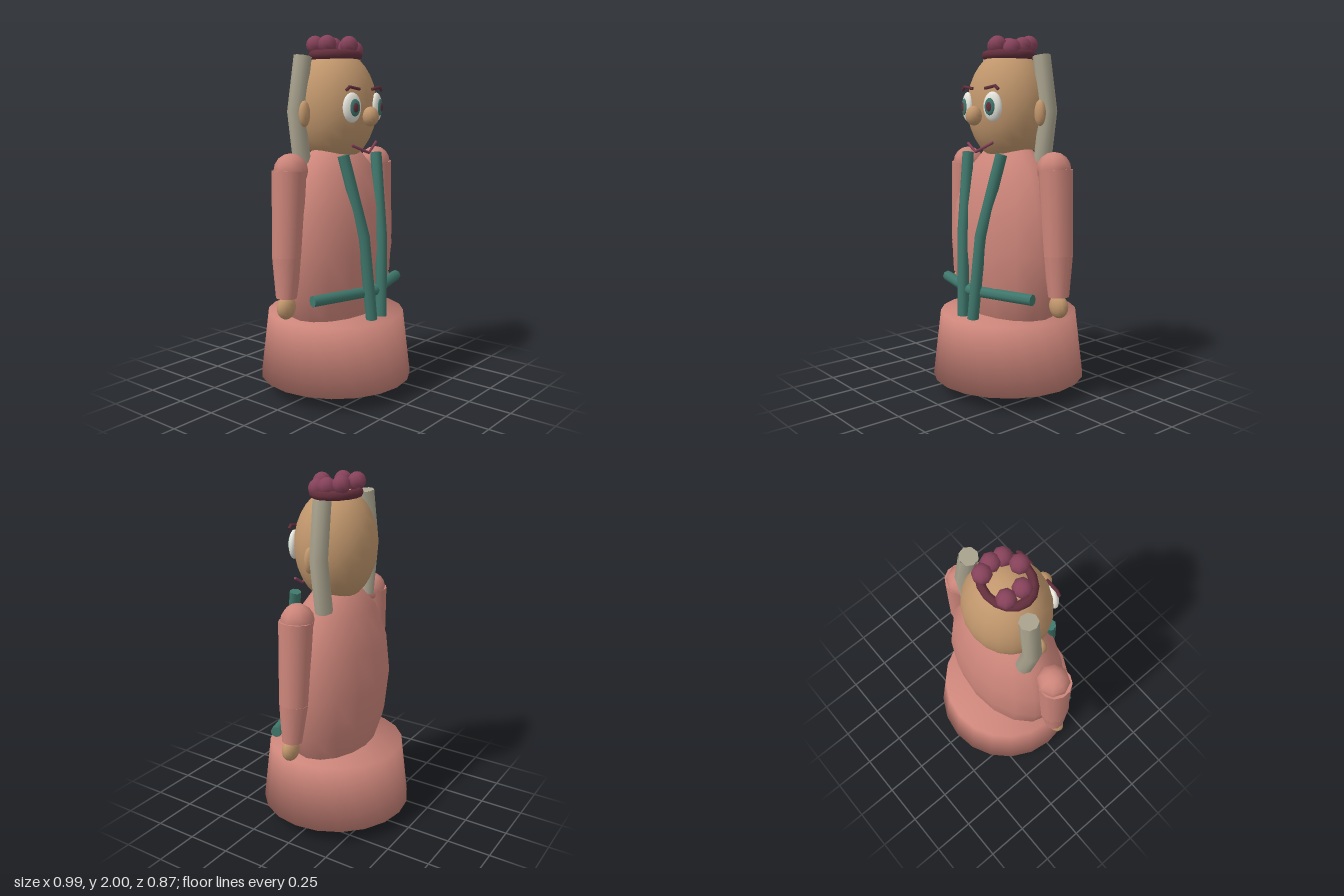
import * as THREE from 'three';
import { mergeGeometries } from 'three/addons/utils/BufferGeometryUtils.js';

const V = (x, y, z) => new THREE.Vector3(x, y, z);

function material(name, color) {
  const m = new THREE.MeshStandardMaterial({ color });
  m.name = name;
  return m;
}

// Path with straight runs and mitred bends
class Polyline extends THREE.Curve {
  constructor(points) {
    super();
    this.points = points;
  }
  getPointAt(u) {
    return this.points[Math.round(u * (this.points.length - 1))].clone();
  }
  getTangentAt(u) {
    const p = this.points, i = Math.round(u * (p.length - 1));
    const t = V(0, 0, 0);
    if (i > 0) t.add(p[i].clone().sub(p[i - 1]).normalize());
    if (i < p.length - 1) t.add(p[i + 1].clone().sub(p[i]).normalize());
    return t.normalize();
  }
}

// Tube along a polyline with flat end caps
function cappedTube(points, radius, sides) {
  const path = new Polyline(points);
  const cap = (u, sign) => {
    const disc = new THREE.CircleGeometry(radius, sides);
    const q = new THREE.Quaternion().setFromUnitVectors(V(0, 0, 1), path.getTangentAt(u).multiplyScalar(sign));
    const at = path.getPointAt(u);
    return disc.applyQuaternion(q).translate(at.x, at.y, at.z);
  };
  const tube = new THREE.TubeGeometry(path, points.length - 1, radius, sides, false);
  return mergeGeometries([tube, cap(0, -1), cap(1, 1)]);
}

// Tapered limb section between two points
function limb(a, b, ra, rb) {
  const d = b.clone().sub(a);
  const g = new THREE.CylinderGeometry(rb, ra, d.length(), 12);
  g.applyQuaternion(new THREE.Quaternion().setFromUnitVectors(V(0, 1, 0), d.normalize()));
  const mid = a.clone().add(b).multiplyScalar(0.5);
  return g.translate(mid.x, mid.y, mid.z);
}

export function createModel() {
  const model = new THREE.Group();
  model.name = 'figure';

  const cloth = material('salmon cloth', 0xcc857a);
  const skin = material('skin', 0xc0966c);
  const teal = material('teal', 0x3f776c);
  const grey = material('grey hair', 0xaaa48f);
  const wine = material('wine', 0x86425a);
  const dark = material('dark wine', 0x632f3c);
  const white = material('eye white', 0xe6e5dc);

  const add = (name, geometry, mat, parent = model) => {
    const mesh = new THREE.Mesh(geometry, mat);
    mesh.name = name;
    parent.add(mesh);
    return mesh;
  };
  const ball = (name, mat, pos, radii, w = 16, h = 12, parent = model) => {
    const g = new THREE.SphereGeometry(1, w, h);
    g.scale(...radii);
    const mesh = add(name, g, mat, parent);
    mesh.position.set(...pos);
    return mesh;
  };

  // Skirt, body and head
  const skirt = [[0, 0.08], [0.435, 0.08], [0.39, 0.455], [0, 0.455]].map(p => new THREE.Vector2(...p));
  add('skirt', new THREE.LatheGeometry(skirt, 20), cloth);
  ball('body', cloth, [0, 0.83, 0], [0.412, 0.6, 0.265], 16, 8);
  ball('head', skin, [0, 1.615, 0], [0.243, 0.312, 0.222], 20, 16);

  // Nose and mouth
  ball('nose', skin, [0, 1.565, 0.242], [0.046, 0.053, 0.045], 12, 10);
  add('mouth', cappedTube([V(-0.11, 1.413, 0.2), V(0, 1.37, 0.232), V(0.11, 1.423, 0.2)], 0.008, 6), wine);

  // Crown ring with berries
  const ring = new THREE.TorusGeometry(0.138, 0.026, 8, 16);
  ring.rotateX(Math.PI / 2).scale(1, 1, 0.84);
  add('crownRing', ring, dark).position.set(0, 1.895, 0);
  const berries = [
    [-0.085, 1.95, -0.075], [0.08, 1.95, -0.08], [-0.09, 1.95, 0.015],
    [0.01, 1.947, 0.085], [0.105, 1.937, -0.01], [0.097, 1.925, 0.055],
  ];
  berries.forEach(p => ball('berry', wine, p, [0.05, 0.05, 0.05], 8, 8));

  // Belt around the front
  add('belt', cappedTube([V(-0.385, 0.605, 0.155), V(0, 0.605, 0.27), V(0.385, 0.605, 0.155)], 0.031, 8), teal);

  // Paired parts, left (+x) and right (-x)
  for (const s of [1, -1]) {
    const side = s > 0 ? 'left' : 'right';

    // Foot, ear and hair lock
    ball(side + 'Foot', teal, [s * 0.16, 0.06, 0.055], [0.09, 0.06, 0.118]);
    ball(side + 'Ear', skin, [s * 0.26, 1.58, -0.003], [0.036, 0.07, 0.028], 12, 10);
    add(side + 'HairLock', cappedTube(
      [V(s * 0.215, 1.885, -0.052), V(s * 0.262, 1.59, -0.06), V(s * 0.215, 1.3, -0.06)], 0.049, 8), grey);

    // Eye: white, iris and pupil, turned outward
    const eye = new THREE.Group();
    eye.name = side + 'Eye';
    eye.position.set(s * 0.11, 1.613, 0.2);
    eye.rotation.y = s * 0.3;
    model.add(eye);
    ball('eyeWhite', white, [0, 0, 0], [0.057, 0.08, 0.028], 16, 12, eye);
    ball('iris', teal, [-s * 0.004, 0, 0.022], [0.033, 0.046, 0.012], 14, 10, eye);
    ball('pupil', dark, [-s * 0.004, 0, 0.03], [0.018, 0.026, 0.008], 12, 8, eye);

    // Eyebrow
    add(side + 'Brow', cappedTube(
      [V(s * 0.157, 1.704, 0.2), V(s * 0.135, 1.722, 0.203), V(s * 0.055, 1.71, 0.208)], 0.009, 6), dark);

    // Arm
    const elbow = V(s * 0.415, 0.83, 0.004);
    ball(side + 'Shoulder', cloth, [s * 0.375, 1.285, 0], [0.093, 0.093, 0.09], 8, 8);
    add(side + 'UpperArm', limb(V(s * 0.388, 1.285, 0), elbow, 0.092, 0.08), cloth);
    add(side + 'Forearm', limb(elbow, V(s * 0.43, 0.61, 0.01), 0.08, 0.056), cloth);
    ball(side + 'Hand', skin, [s * 0.437, 0.56, 0.016], [0.06, 0.064, 0.043], 12, 10);

    // Shoulder strap down the front
    add(side + 'Strap', cappedTube(
      [V(s * 0.148, 1.36, 0.172), V(s * 0.08, 0.92, 0.262), V(s * 0.045, 0.455, 0.292)], 0.032, 8), teal);
  }
  return model;
}
